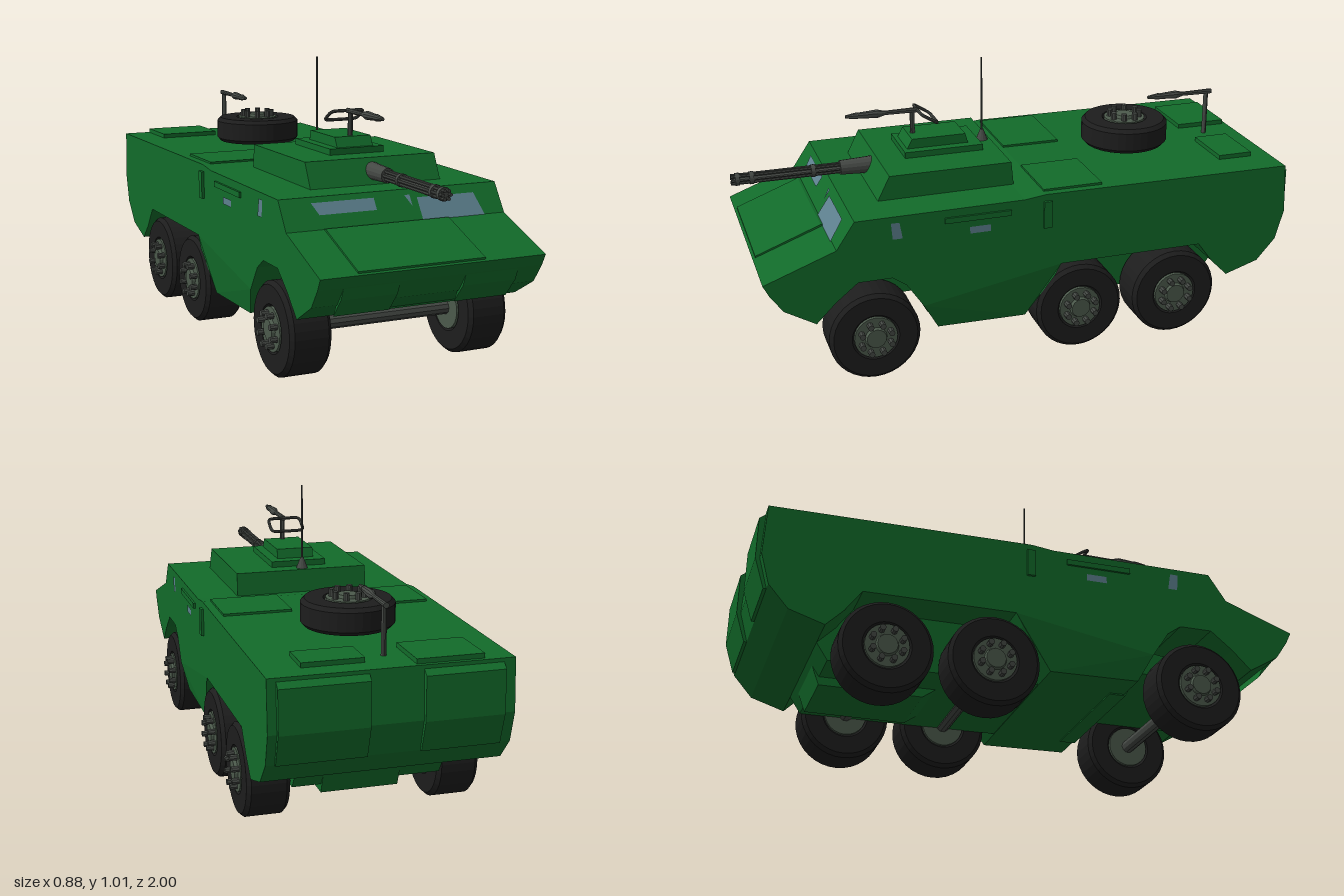
import * as THREE from 'three';

const paint = (color, side = THREE.FrontSide) =>
  new THREE.MeshStandardMaterial({ color, flatShading: true, side, roughness: 0.85 });
const green = paint(0x126b2a);
const rubber = paint(0x1d1d1d);
const hubGrey = paint(0x4c5a4c);
const steel = paint(0x444844);
const glass = paint(0x5d808e, THREE.DoubleSide);

function add(parent, name, geometry, material, x = 0, y = 0, z = 0) {
  const mesh = new THREE.Mesh(geometry, material);
  mesh.name = name;
  mesh.position.set(x, y, z);
  parent.add(mesh);
  return mesh;
}

// Side profile of [z, y] points, extruded across x
function slab(profile, width) {
  const shape = new THREE.Shape(profile.map(p => new THREE.Vector2(...p)));
  const geo = new THREE.ExtrudeGeometry(shape, { depth: width, bevelEnabled: false });
  return geo.translate(0, 0, -width / 2).rotateY(-Math.PI / 2);
}

// Box given by its limits
function block(parent, name, [x0, x1], [y0, y1], [z0, z1], material = green) {
  return add(parent, name, new THREE.BoxGeometry(x1 - x0, y1 - y0, z1 - z0), material,
    (x0 + x1) / 2, (y0 + y1) / 2, (z0 + z1) / 2);
}

// Thin polygon, fanned from its first corner
function pane(parent, name, corners) {
  const geo = new THREE.BufferGeometry().setFromPoints(corners.map(c => new THREE.Vector3(...c)));
  const index = [];
  for (let i = 1; i < corners.length - 1; i++) index.push(0, i, i + 1);
  geo.setIndex(index);
  geo.computeVertexNormals();
  return add(parent, name, geo, glass);
}

// Round rod between two points
function rod(parent, name, a, b, r0, r1 = r0, sides = 10) {
  const from = new THREE.Vector3(...a), to = new THREE.Vector3(...b);
  const dir = to.clone().sub(from);
  const mesh = add(parent, name, new THREE.CylinderGeometry(r1, r0, dir.length(), sides), steel);
  mesh.position.copy(from).add(to).multiplyScalar(0.5);
  mesh.quaternion.setFromUnitVectors(new THREE.Vector3(0, 1, 0), dir.normalize());
}

// Wheel with its axle along y and the outer face up
function makeWheel(name, width) {
  const wheel = new THREE.Group();
  wheel.name = name;
  const h = width / 2;
  const profile = [[0.075, -h + 0.012], [0.085, -h], [0.15, -h], [0.163, -h + 0.014],
    [0.163, h - 0.014], [0.15, h], [0.085, h], [0.075, h - 0.012]];
  add(wheel, 'tyre', new THREE.LatheGeometry(profile.map(p => new THREE.Vector2(...p)), 36), rubber);
  add(wheel, 'hub', new THREE.CylinderGeometry(0.077, 0.077, width + 0.004, 24), hubGrey);
  add(wheel, 'hubCap', new THREE.CylinderGeometry(0.035, 0.04, 0.012, 16), hubGrey, 0, h + 0.007, 0);
  for (let i = 0; i < 8; i++) {
    const a = (i + 0.5) * Math.PI / 4;
    add(wheel, 'hubBolt', new THREE.CylinderGeometry(0.011, 0.011, 0.028, 8), steel,
      0.056 * Math.cos(a), h + 0.014, 0.056 * Math.sin(a));
  }
  return wheel;
}

function addHull(model) {
  // Full-width body with wheel arches
  const body = slab([
    [0.965, 0.42], [0.71, 0.515], [0.645, 0.612], [0.04, 0.615], [-0.04, 0.625], [-0.975, 0.62],
    [-0.985, 0.44], [-0.955, 0.33], [-0.885, 0.25], [-0.76, 0.21], [-0.70, 0.27], [-0.64, 0.35],
    [-0.10, 0.35], [-0.075, 0.305], [0.03, 0.155], [0.355, 0.16], [0.41, 0.26], [0.47, 0.35],
    [0.52, 0.385], [0.64, 0.385], [0.72, 0.32], [0.79, 0.25], [0.90, 0.315], [0.945, 0.38]], 0.82);
  const pos = body.attributes.position;
  for (let i = 0; i < pos.count; i++) {
    if (pos.getY(i) < 0.2) pos.setX(i, pos.getX(i) * 0.95);
  }
  add(model, 'hull', body, green);

  // Narrow lower hull between the wheels
  add(model, 'frontBelly', slab([[0.80, 0.25], [0.80, 0.29], [0.3, 0.36], [0.3, 0.155], [0.36, 0.155],
    [0.41, 0.25]].reverse(), 0.52), green);
  add(model, 'rearBelly', slab([[0.1, 0.157], [0.1, 0.4], [-0.85, 0.4], [-0.885, 0.25], [-0.76, 0.21],
    [-0.72, 0.15]], 0.52), green);
  add(model, 'bellyKeel', slab([[-0.3, 0.155], [-0.35, 0.12], [-0.72, 0.12], [-0.75, 0.2], [-0.3, 0.2]], 0.27),
    green, 0.025);

  // Raised hood panel
  add(model, 'hoodPanel', slab([[0.955, 0.42], [0.955, 0.43], [0.72, 0.519], [0.70, 0.515]], 0.46),
    green, -0.045);
  // Wedges below the nose
  for (const s of [-1, 1]) {
    const wedge = slab([[0.945, 0.382], [0.90, 0.33], [0.87, 0.27], [0.925, 0.335]], 0.2);
    add(model, 'noseWedge', wedge, green, s * 0.22);
  }
  // Rear door panels with a gap between them
  const door = [[-0.97, 0.612], [-0.998, 0.59], [-1, 0.44], [-0.966, 0.33], [-0.93, 0.33]];
  add(model, 'rearDoorLeft', slab(door, 0.3), green, 0.23);
  add(model, 'rearDoorRight', slab(door, 0.27), green, -0.235);

  // Roof hatches
  block(model, 'roofHatch', [0.13, 0.38], [0.61, 0.632], [-0.26, -0.04]);
  block(model, 'roofHatch', [-0.38, -0.08], [0.61, 0.632], [-0.26, -0.04]);
  block(model, 'rearHatch', [0.07, 0.28], [0.61, 0.637], [-0.90, -0.77]);
  block(model, 'rearHatch', [-0.31, -0.08], [0.61, 0.637], [-0.96, -0.77]);

  // Side fittings and windows
  for (const s of [-1, 1]) {
    const x = s * 0.412;
    block(model, 'sideLatch', [x - 0.008, x + 0.008], [0.5, 0.6], [-0.06, -0.03]);
    block(model, 'sideRail', [x - 0.006, x + 0.006], [0.565, 0.585], [0.09, 0.33]);
    pane(model, 'cabSideWindow', [[x, 0.53, 0.48], [x, 0.53, 0.515], [x, 0.59, 0.52], [x, 0.59, 0.49]]);
    pane(model, 'sideWindow', [[x, 0.515, 0.165], [x, 0.515, 0.24], [x, 0.54, 0.24], [x, 0.54, 0.165]]);
  }
  // Windscreen panes on the slope
  const p = (x, y) => [x, y, 0.714 - (y - 0.515) * 0.67];
  pane(model, 'windscreenLeft', [p(0.09, 0.515), p(0.33, 0.515), p(0.31, 0.585), p(0.09, 0.585)]);
  pane(model, 'windscreenRight', [p(-0.28, 0.558), p(-0.07, 0.558), p(-0.07, 0.595), p(-0.30, 0.595)]);
  pane(model, 'windscreenSliver', [p(0.065, 0.56), p(0.065, 0.595), p(0.045, 0.595)]);
}

function addTurret(model) {
  const turret = new THREE.Group();
  turret.name = 'turret';
  model.add(turret);
  add(turret, 'turretBase', slab([[0.535, 0.6], [0.485, 0.7], [0.04, 0.7], [0.03, 0.6]], 0.5), green, 0.01);
  block(turret, 'hatchPlate', [-0.10, 0.11], [0.695, 0.722], [0.10, 0.39]);
  add(turret, 'cupola', slab([[0.375, 0.72], [0.355, 0.757], [0.155, 0.757], [0.145, 0.72]], 0.14), green, 0.005);

  // Main gun: sleeve, barrel cluster and clamp rings
  const gx = 0.01, gy = 0.655;
  rod(turret, 'gunSleeve', [gx, gy, 0.47], [gx, gy, 0.61], 0.032, 0.026, 14);
  rod(turret, 'gunCore', [gx, gy, 0.6], [gx, gy, 0.99], 0.012);
  for (let i = 0; i < 6; i++) {
    const a = i * Math.PI / 3;
    const x = gx + 0.015 * Math.cos(a), y = gy + 0.015 * Math.sin(a);
    rod(turret, 'gunBarrel', [x, y, 0.6], [x, y, 1], 0.006, 0.006, 8);
  }
  for (const z of [0.7, 0.92, 0.97]) rod(turret, 'gunRing', [gx, gy, z], [gx, gy, z + 0.015], 0.023, 0.023, 14);

  // Radio aerial
  rod(turret, 'aerialBase', [0, 0.7, 0.07], [0, 0.74, 0.07], 0.022, 0.006, 12);
  rod(turret, 'aerial', [0, 0.73, 0.07], [0, 1.015, 0.07], 0.004, 0.003, 6);
}

// Light gun on a post: y is barrel height, z is the post
function addLightGun(model, name, x, y, z, foot) {
  const gun = new THREE.Group();
  gun.name = name;
  model.add(gun);
  rod(gun, 'post', [x, foot, z], [x, y, z], 0.009);
  rod(gun, 'receiver', [x, y, z - 0.02], [x, y, z + 0.11], 0.01, 0.008);
  rod(gun, 'jacket', [x, y, z + 0.1], [x, y, z + 0.13], 0.008, 0.016);
  rod(gun, 'jacket', [x, y, z + 0.13], [x, y, z + 0.2], 0.016, 0.011);
  rod(gun, 'muzzle', [x, y, z + 0.2], [x, y, z + 0.245], 0.013, 0.006);
}

export function createModel() {
  const model = new THREE.Group();
  model.name = 'armouredCarrier';
  addHull(model);
  addTurret(model);

  // Six road wheels with axles
  for (const z of [0.585, -0.175, -0.55]) {
    for (const s of [-1, 1]) {
      const wheel = makeWheel('wheel', 0.15);
      wheel.position.set(s * 0.335, 0.165, z);
      wheel.rotation.z = -s * Math.PI / 2;
      model.add(wheel);
    }
    rod(model, 'axle', [-0.28, 0.165, z], [0.28, 0.165, z], 0.025);
  }

  // Spare wheel on the roof
  const spare = makeWheel('spareWheel', 0.095);
  spare.position.set(0, 0.68, -0.5);
  model.add(spare);

  // Light guns, with a handle frame on the front one
  addLightGun(model, 'cupolaGun', 0.005, 0.843, 0.335, 0.75);
  const frame = new THREE.CatmullRomCurve3([[-0.045, 1], [0.055, 1], [0.068, 0.8], [0.068, 0.2], [0.055, 0],
    [-0.045, 0], [-0.058, 0.2], [-0.058, 0.8]].map(([x, t]) =>
    new THREE.Vector3(x, 0.805 + 0.038 * t, 0.255 + 0.06 * t)), true, 'catmullrom', 0.3);
  add(model, 'handleFrame', new THREE.TubeGeometry(frame, 48, 0.006, 8, true), steel);
  addLightGun(model, 'rearGun', -0.01, 0.79, -0.845, 0.61);
  return model;
}
